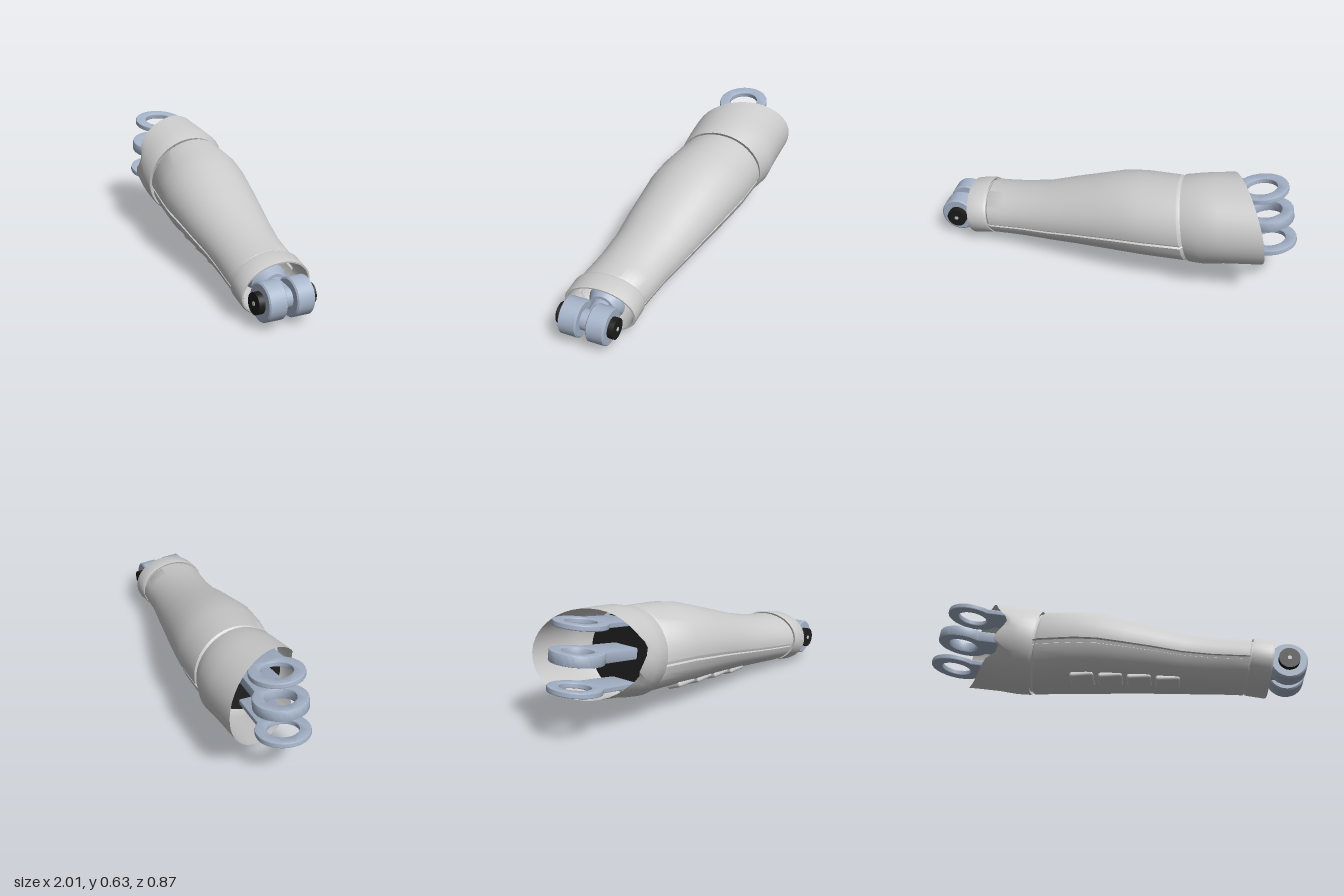
import * as THREE from 'three';
import { toCreasedNormals } from 'three/addons/utils/BufferGeometryUtils.js';
import { RoundedBoxGeometry } from 'three/addons/geometries/RoundedBoxGeometry.js';

const mat = (color) => new THREE.MeshStandardMaterial({ color, side: THREE.DoubleSide });
const shellMat = mat(0xcccccc), metalMat = mat(0xa6b4c9), darkMat = mat(0x1c1c1c);

function add(parent, name, geo, material, x = 0, y = 0, z = 0) {
  const mesh = new THREE.Mesh(geo, material);
  mesh.name = name;
  mesh.position.set(x, y, z);
  parent.add(mesh);
  return mesh;
}

// Sections: [x, yMin, yMax, zMin, zMax, scale = 1, shear in z = -0.12]
function ringPoint([x, y0, y1, z0, z1, s = 1, kz = -0.12], t, r = 1) {
  const dy = (y1 - y0) / 2 * Math.sin(t) * s * r, dz = (z1 - z0) / 2 * Math.cos(t) * s * r;
  return new THREE.Vector3(x + 0.17 * dy + kz * dz, (y0 + y1) / 2 + dy, (z0 + z1) / 2 + dz);
}

// Skin closed rings; outline is a list of [angle, radius factor]
function loft(sections, outline, adjust) {
  const pos = [], idx = [], n = outline.length;
  sections.forEach((sec, i) => outline.forEach(([t, r]) => {
    const p = ringPoint(sec, t, r);
    if (adjust) adjust(p, i, t);
    pos.push(p.x, p.y, p.z);
  }));
  for (let i = 0; i < sections.length - 1; i++) for (let j = 0; j < n; j++) {
    const a = i * n + j, b = i * n + (j + 1) % n;
    idx.push(a, a + n, b, b, a + n, b + n);
  }
  const geo = new THREE.BufferGeometry();
  geo.setAttribute('position', new THREE.Float32BufferAttribute(pos, 3));
  geo.setIndex(idx);
  return toCreasedNormals(geo, 0.6);
}

const round = Array.from({ length: 40 }, (_, i) => [-Math.PI / 2 + i / 40 * Math.PI * 2, 1]);

// Forearm outline: upper shell, a seam groove along each side, lower panel
function armOutline() {
  const half = [[-0.09, 1], [-0.11, 0.94], [-0.2, 0.93], [-0.22, 0.975]];
  const pts = [];
  for (let i = 0; i <= 20; i++) pts.push([-0.07 + i / 20 * (Math.PI + 0.14), 1]);
  half.forEach(([t, r]) => pts.push([Math.PI - t, r]));
  for (let i = 1; i < 14; i++) pts.push([Math.PI + 0.22 + i / 14 * (Math.PI - 0.44), 0.985]);
  half.reverse().forEach(([t, r]) => pts.push([Math.PI * 2 + t, r]));
  return pts;
}

const arm = [
  [-0.41, 0.11, 0.57, -0.34, 0.14],
  [-0.2, 0.1, 0.55, -0.3, 0.21],
  [-0.08, 0.09, 0.525, -0.26, 0.245],
  [0.05, 0.082, 0.48, -0.21, 0.265],
  [0.2, 0.07, 0.427, -0.15, 0.29],
  [0.35, 0.055, 0.373, -0.09, 0.31],
  [0.5, 0.04, 0.333, -0.03, 0.345],
  [0.6, 0.03, 0.313, 0.0, 0.375],
  [0.69, 0.02, 0.3, 0.025, 0.4],
];

function armSection(x) {
  const i = Math.max(1, arm.findIndex((s) => s[0] >= x));
  const a = arm[i - 1], b = arm[i], f = (x - a[0]) / (b[0] - a[0]);
  return a.map((v, k) => v + (b[k] - v) * f);
}

// Flat lug: ring with a hole and a tail running along +x
function lugGeometry(radius, hole, length, thick) {
  const s = new THREE.Shape();
  s.absarc(0, 0, radius, 0.7, Math.PI * 2 - 0.7, false);
  s.lineTo(length, -0.08);
  s.lineTo(length, 0.08);
  s.closePath();
  s.holes.push(new THREE.Path().absarc(0, 0, hole, 0, Math.PI * 2, true));
  const bevel = 0.007;
  const geo = new THREE.ExtrudeGeometry(s, {
    depth: thick - 2 * bevel, bevelThickness: bevel, bevelSize: bevel,
    bevelOffset: -bevel, bevelSegments: 2, curveSegments: 20,
  });
  geo.translate(0, 0, bevel - thick / 2);
  return toCreasedNormals(geo.rotateX(-Math.PI / 2), 0.6);
}

export function createModel() {
  const group = new THREE.Group();

  // Forearm shell with both ends turned in
  const first = arm[0], last = arm[arm.length - 1];
  add(group, 'forearmShell', loft([
    [-0.425, ...first.slice(1), 0.93], [-0.41, ...first.slice(1), 0.94], [-0.395, ...first.slice(1)],
    ...arm.slice(1), [0.7, ...last.slice(1), 0.94], [0.72, ...last.slice(1), 0.93],
  ], armOutline()), shellMat);

  // Elbow sleeve: slanted, notched open edge
  add(group, 'elbowSleeve', loft([
    [-0.73, 0.172, 0.628, -0.435, 0.11, 1, 0.27],
    [-0.58, 0.145, 0.61, -0.4, 0.125, 1, 0.0],
    [-0.5, 0.125, 0.597, -0.385, 0.135],
    [-0.425, 0.11, 0.575, -0.345, 0.145],
    [-0.415, 0.11, 0.575, -0.345, 0.145, 0.985],
    [-0.42, 0.11, 0.575, -0.345, 0.145, 0.92],
  ], round, (p, i, t) => {
    const bump = (c, w) => Math.exp(-(((t - c) / w) ** 2));
    if (i === 0) p.x += 0.06 * bump(0.15, 0.3) + 0.06 * bump(-0.55, 0.16);
  }), shellMat);

  // Wrist cuff with wall thickness
  const cuff = [0.0, 0.288, 0.04, 0.432], cuffIn = [0.02, 0.305, 0.025, 0.412];
  add(group, 'wristCuff', loft([
    [0.705, ...cuffIn, 0.92], [0.7, ...cuffIn, 0.99], [0.715, ...cuffIn, 1.01],
    [0.8, ...cuff], [0.81, ...cuff, 0.98], [0.81, ...cuff, 0.93],
    [0.77, ...cuff, 0.91], [0.69, ...cuffIn, 0.88],
  ], round), shellMat);

  // Raised vents under the arm
  for (let i = 0; i < 4; i++) {
    const x = -0.13 + i * 0.145, t = -1.15, sec = armSection(x);
    const p = ringPoint(sec, t, 0.975);
    const along = ringPoint(armSection(x + 0.05), t, 0.975).sub(p).normalize();
    const out = new THREE.Vector3(0, Math.sin(t) / (sec[2] - sec[1]), Math.cos(t) / (sec[4] - sec[3]));
    out.addScaledVector(along, -out.dot(along)).normalize();
    const vent = add(group, 'vent', new RoundedBoxGeometry(0.13, 0.035, 0.1 - i * 0.006, 2, 0.014), shellMat, p.x, p.y, p.z);
    vent.quaternion.setFromRotationMatrix(
      new THREE.Matrix4().makeBasis(along, out, along.clone().cross(out)));
    vent.rotateZ(-0.1);
  }

  // Frame that follows the arm's slope
  const ax = new THREE.Vector3(1, -0.17, 0.22).normalize();
  const az = ax.clone().cross(new THREE.Vector3(0, 1, 0)).normalize();
  const slope = new THREE.Quaternion().setFromRotationMatrix(
    new THREE.Matrix4().makeBasis(ax, az.clone().cross(ax), az));

  // Three elbow hinge lugs
  [[-0.79, 0.578, 0.3, 0.03], [-0.83, 0.423, 0.36, 0.06], [-0.86, 0.263, 0.36, 0.03]]
    .forEach(([x, y, len, thick]) => {
      add(group, 'elbowLug', lugGeometry(0.14, 0.08, len, thick), metalMat, x, y, -0.152)
        .quaternion.copy(slope);
    });
  add(group, 'elbowCore', new THREE.CylinderGeometry(0.2, 0.2, 0.06, 32).rotateZ(Math.PI / 2),
    darkMat, -0.46, 0.352, -0.105).quaternion.copy(slope);

  // Wrist joint: two rollers on a hub, end caps, and a stem into the cuff
  const wrist = new THREE.Group();
  wrist.name = 'wristJoint';
  wrist.position.set(0.892, 0.13, 0.265);
  wrist.rotation.set(-0.03, -0.15, 0);
  group.add(wrist);
  const disc = (r, h) => new THREE.CylinderGeometry(r, r, h, 32).rotateX(Math.PI / 2);
  const rollerProfile = [[0, -0.05], [0.09, -0.05], [0.098, -0.044], [0.098, 0.044], [0.09, 0.05], [0, 0.05]]
    .map(([x, y]) => new THREE.Vector2(x, y));
  for (const side of [-1, 1]) {
    const roller = toCreasedNormals(new THREE.LatheGeometry(rollerProfile, 32).rotateX(Math.PI / 2), 0.5);
    add(wrist, 'roller', roller, metalMat, 0, 0, side * 0.076);
    add(wrist, 'endCap', disc(0.055, 0.032), darkMat, 0, 0, side * 0.142);
    add(wrist, 'pin', disc(0.011, 0.004), shellMat, 0, 0, side * 0.159);
  }
  add(wrist, 'hub', disc(0.055, 0.06), metalMat);
  const stem = (r0, r1, h) => new THREE.CylinderGeometry(r0, r1, h, 20).rotateZ(Math.PI / 2);
  add(wrist, 'stem', stem(0.075, 0.045, 0.3), metalMat, -0.15, 0.012, -0.02);
  add(wrist, 'stemCollar', stem(0.1, 0.07, 0.06), metalMat, -0.13, 0.012, -0.02);

  return group;
}
